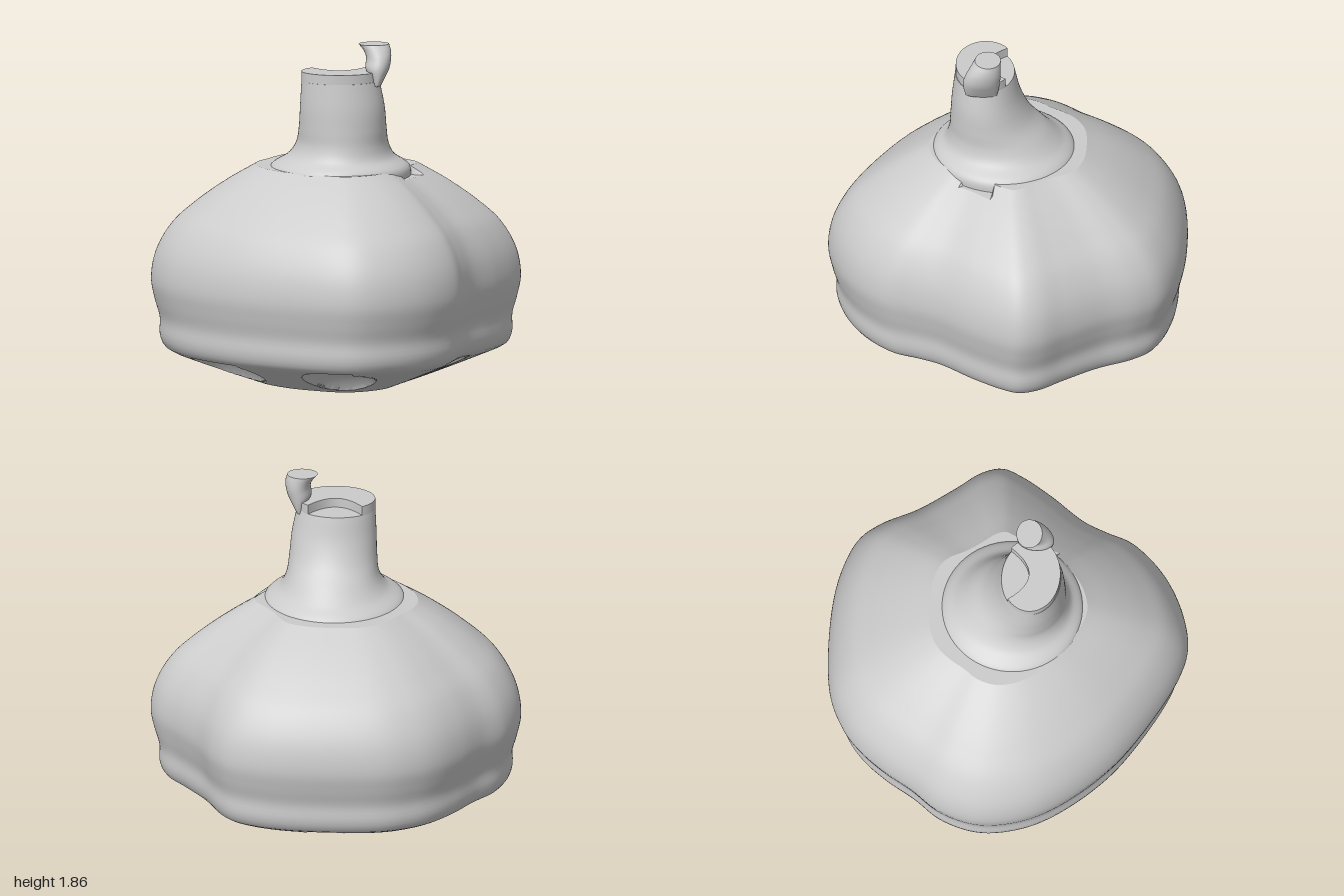
import * as THREE from 'three';
import { toCreasedNormals } from 'three/addons/utils/BufferGeometryUtils.js';

// Skin a stack of equal-length rings; optionally close both ends
function loft(rings, crease = 0.5) {
  const n = rings[0].length, pos = [], idx = [];
  rings.forEach(r => r.forEach(p => pos.push(p.x, p.y, p.z)));
  for (let i = 0; i < rings.length - 1; i++) {
    for (let j = 0; j < n; j++) {
      const k = (j + 1) % n;
      const a = i * n + j, b = i * n + k, c = a + n, d = b + n;
      idx.push(a, c, b, b, c, d);
    }
  }
  [0, rings.length - 1].forEach((row, end) => {
    const m = new THREE.Vector3();
    rings[row].forEach(p => m.addScaledVector(p, 1 / n));
    const centre = pos.length / 3;
    pos.push(m.x, m.y, m.z);
    for (let j = 0; j < n; j++) {
      const a = row * n + j, b = row * n + (j + 1) % n;
      if (end) idx.push(a, centre, b); else idx.push(a, b, centre);
    }
  });
  const g = new THREE.BufferGeometry();
  g.setAttribute('position', new THREE.Float32BufferAttribute(pos, 3));
  g.setIndex(idx);
  return toCreasedNormals(g, crease);
}

// Loft through ellipses given as [y, xMin, xMax, zMin, zMax]
function ellipseLoft(rows, steps, sides) {
  const centres = new THREE.CatmullRomCurve3(rows.map(r => new THREE.Vector3((r[1] + r[2]) / 2, r[0], (r[3] + r[4]) / 2)));
  const radii = new THREE.CatmullRomCurve3(rows.map(r => new THREE.Vector3((r[2] - r[1]) / 2, 0, (r[4] - r[3]) / 2)), false, 'catmullrom');
  centres.curveType = 'catmullrom';
  const rings = [];
  for (let i = 0; i <= steps; i++) {
    const c = centres.getPoint(i / steps), r = radii.getPoint(i / steps);
    rings.push(Array.from({ length: sides }, (_, j) => {
      const a = j / sides * Math.PI * 2;
      return new THREE.Vector3(c.x + r.x * Math.cos(a), c.y, c.z + r.z * Math.sin(a));
    }));
  }
  return loft(rings);
}

// Lobed plan outline of the bulb (x, z)
const OUTLINE = [
  [-0.61, -0.785], [-0.5, -0.87], [-0.32, -0.945], [0.08, -0.97], [0.35, -0.935], [0.54, -0.855],
  [0.63, -0.75], [0.73, -0.55], [0.86, -0.36], [0.97, -0.21], [1, -0.1], [0.965, 0],
  [0.86, 0.175], [0.72, 0.37], [0.66, 0.51], [0.61, 0.645], [0.46, 0.81], [0.27, 0.92],
  [0.075, 0.967], [-0.075, 0.94], [-0.32, 0.82], [-0.61, 0.62], [-0.85, 0.35], [-0.96, 0.14],
  [-1, -0.1], [-0.94, -0.32], [-0.825, -0.48], [-0.72, -0.65],
];

// Round hollows underneath: [x, z, radius, depth]
const HOLLOWS = [
  [0, 0, 0.3, 0.17], [-0.03, 0.67, 0.2, 0.12], [-0.61, 0.32, 0.2, 0.12], [0.53, 0.34, 0.18, 0.11],
  [0.61, -0.31, 0.2, 0.12], [0.03, -0.68, 0.2, 0.12], [-0.58, -0.34, 0.2, 0.12],
];

function hollow(p) {
  for (const [x, z, a, h] of HOLLOWS) {
    const dx = p.x - x, dz = p.z - z;
    let d = Math.hypot(dx, dz);
    if (Math.abs(d - a) < 0.009) { // snap to a clean round edge
      p.x = x + dx * a / d;
      p.z = z + dz * a / d;
      d = a;
    }
    if (d < a) {
      const R = (a * a + h * h) / (2 * h);
      p.y += Math.sqrt(R * R - d * d) - (R - h);
    }
  }
  return p;
}

function bulbGeometry() {
  const plan = new THREE.CatmullRomCurve3(OUTLINE.map(([x, z]) => new THREE.Vector3(x, 0, z)), true)
    .getSpacedPoints(260).slice(0, 260);
  const rows = []; // [scale, y, underside]
  for (let i = 1; i <= 26; i++) rows.push([0.43 * i / 26, 0, true]);
  for (let i = 1; i <= 30; i++) {
    const t = i / 30;
    rows.push([0.43 + 0.45 * t, 0.15 * t + 0.01 * t * t, true]);
  }
  const side = new THREE.CatmullRomCurve3([
    [0.88, 0.16], [0.93, 0.19], [0.953, 0.25], [0.953, 0.34], [0.98, 0.44], [1, 0.55], [0.975, 0.7],
    [0.89, 0.85], [0.76, 0.97], [0.6, 1.085], [0.44, 1.18],
  ].map(([s, y]) => new THREE.Vector3(s, y, 0)));
  side.getSpacedPoints(52).slice(1).forEach(p => rows.push([p.x, p.y, false]));
  rows.push([0.3, 1.18, false]);
  return loft(rows.map(([s, y, under]) => plan.map(q => {
    const p = new THREE.Vector3(q.x * s, y, q.z * s);
    if (under) return hollow(p);
    // small ledge cut into the rim
    const angle = Math.atan2(p.z, p.x);
    if (angle > 0.16 && angle < 0.6) p.y = Math.min(p.y, 1.13);
    return p;
  })));
}

// Raised front part of the cut neck, with a curved bite at the back
function crownGeometry() {
  const s = new THREE.Shape();
  s.absellipse(0.01, -0.12, 0.21, 0.16, Math.PI - 0.8, Math.PI * 2 + 0.8, false);
  s.quadraticCurveTo(0.01, -0.215, -0.136, -0.005);
  const g = new THREE.ExtrudeGeometry(s, { depth: 0.055, bevelEnabled: false, curveSegments: 32 });
  g.rotateX(-Math.PI / 2).translate(0, 1.657, 0);
  return toCreasedNormals(g, 0.5);
}

export function createModel() {
  const group = new THREE.Group();
  const grey = new THREE.MeshStandardMaterial({ color: 0xcccccc });
  grey.name = 'light grey';
  const add = (name, geometry) => {
    const mesh = new THREE.Mesh(geometry, grey);
    mesh.name = name;
    group.add(mesh);
  };

  add('bulb', bulbGeometry());
  add('neck', ellipseLoft([
    [1.1, -0.37, 0.4, -0.38, 0.4], [1.18, -0.36, 0.39, -0.36, 0.4], [1.24, -0.27, 0.31, -0.29, 0.34],
    [1.31, -0.225, 0.275, -0.22, 0.315], [1.4, -0.212, 0.262, -0.135, 0.308],
    [1.52, -0.207, 0.25, -0.075, 0.3], [1.66, -0.2, 0.222, -0.038, 0.283],
  ], 40, 64));
  add('neckCrown', crownGeometry());
  add('stemStub', ellipseLoft([
    [1.638, 0.18, 0.23, 0.05, 0.22], [1.68, 0.165, 0.252, 0.04, 0.23], [1.73, 0.145, 0.275, 0.033, 0.232],
    [1.78, 0.15, 0.285, 0.03, 0.215], [1.82, 0.138, 0.284, 0.03, 0.193], [1.855, 0.11, 0.275, 0.03, 0.17],
  ], 24, 36));
  return group;
}
